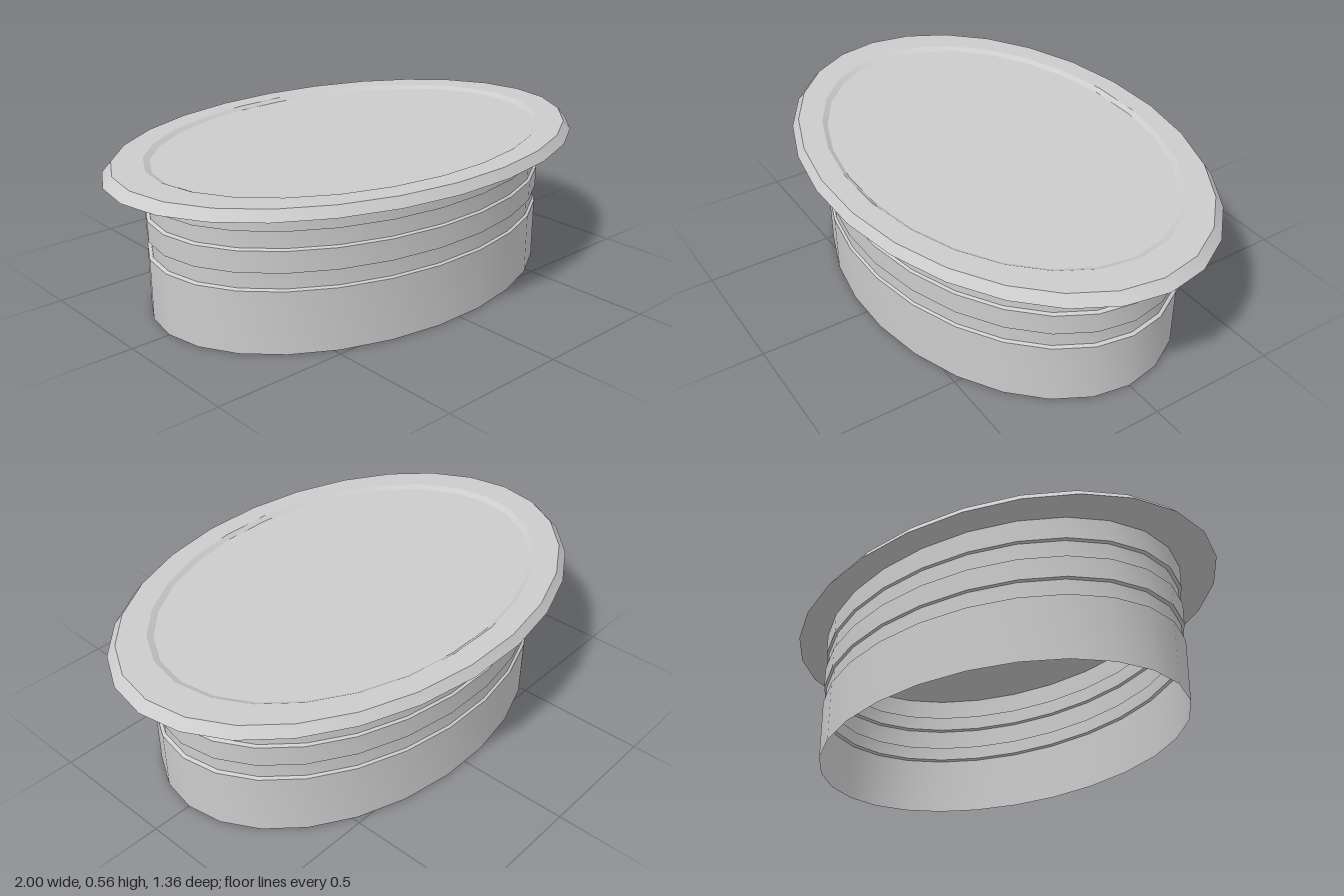
import * as THREE from 'three';
import { toCreasedNormals } from 'three/addons/utils/BufferGeometryUtils.js';

const SIDES = 26;
const DEPTH_RATIO = 0.683; // z radius / x radius of the oval

// Revolve a profile of [radius, height] points, then squash it to an oval
function ovalLathe(name, profile, material) {
  const points = profile.map(([r, y]) => new THREE.Vector2(r, y));
  const lathe = new THREE.LatheGeometry(points, SIDES, Math.PI / 2);
  lathe.scale(1, 1, DEPTH_RATIO);
  const mesh = new THREE.Mesh(toCreasedNormals(lathe, 0.4), material);
  mesh.name = name;
  return mesh;
}

export function createModel() {
  const group = new THREE.Group();
  group.name = 'ovalPlug';
  const solid = new THREE.MeshStandardMaterial({ color: 0xcccccc });
  const thin = new THREE.MeshStandardMaterial({ color: 0xcccccc, side: THREE.DoubleSide });

  // Lid: flat underside, sloped rim and a shallow dished top
  group.add(ovalLathe('lid', [
    [0, 0.525], [1, 0.525], [0.965, 0.56], [0.845, 0.56], [0.82, 0.548], [0, 0.548],
  ], solid));

  // Skirt: thin open wall with two shallow grooves
  const outer = 0.85, inner = 0.837;
  const wall = [[outer, 0]];
  for (const [low, high] of [[0.232, 0.298], [0.376, 0.445]]) {
    wall.push([outer, low], [inner, low + 0.006], [inner, high - 0.004], [outer, high]);
  }
  wall.push([outer, 0.525]);
  group.add(ovalLathe('skirt', wall, thin));

  return group;
}
